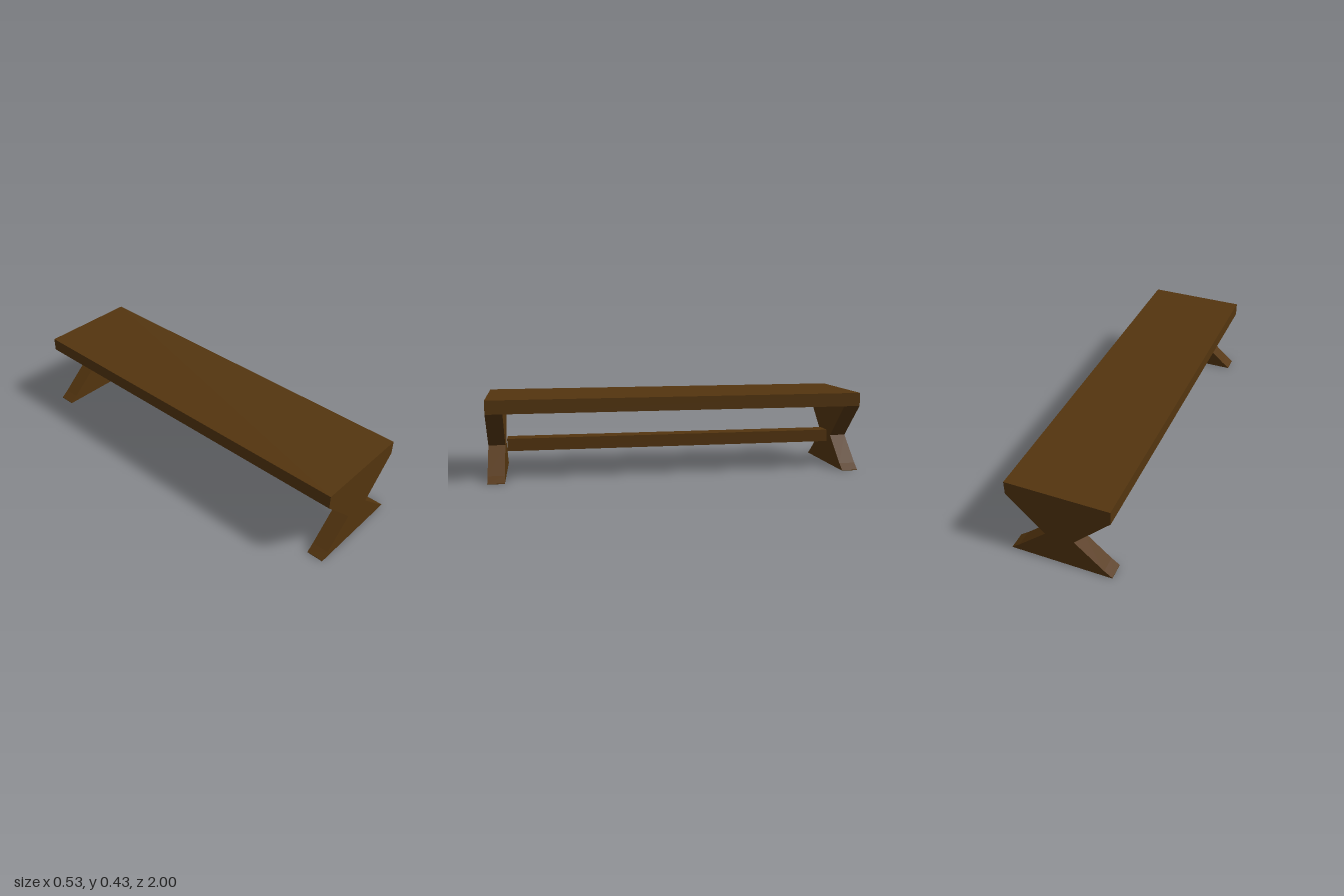
import * as THREE from 'three';

export function createModel() {
  const group = new THREE.Group();
  const wood = new THREE.MeshStandardMaterial({ color: 0x54350f, flatShading: true });

  const add = (name, geometry, y, z = 0) => {
    const mesh = new THREE.Mesh(geometry, wood);
    mesh.name = name;
    mesh.position.set(0, y, z);
    group.add(mesh);
  };

  // Seat plank
  add('seat', new THREE.BoxGeometry(0.534, 0.072, 2), 0.395);

  // Hourglass end legs, right half of the outline mirrored to the left
  const half = [[0.267, 0], [0.267, 0.003], [0.226, 0.034], [0.075, 0.168], [0.25, 0.343], [0.267, 0.359]];
  const outline = [...half, ...half.map(([x, y]) => [-x, y]).reverse()];
  const shape = new THREE.Shape(outline.map(([x, y]) => new THREE.Vector2(x, y)));
  const legDepth = 0.088;
  const leg = new THREE.ExtrudeGeometry(shape, { depth: legDepth, bevelEnabled: false });
  add('frontLeg', leg, 0, 1 - legDepth);
  add('backLeg', leg, 0, -1);

  // Stretcher beam, stopping just short of the legs
  add('stretcher', new THREE.BoxGeometry(0.095, 0.067, 1.805), 0.162);

  return group;
}
